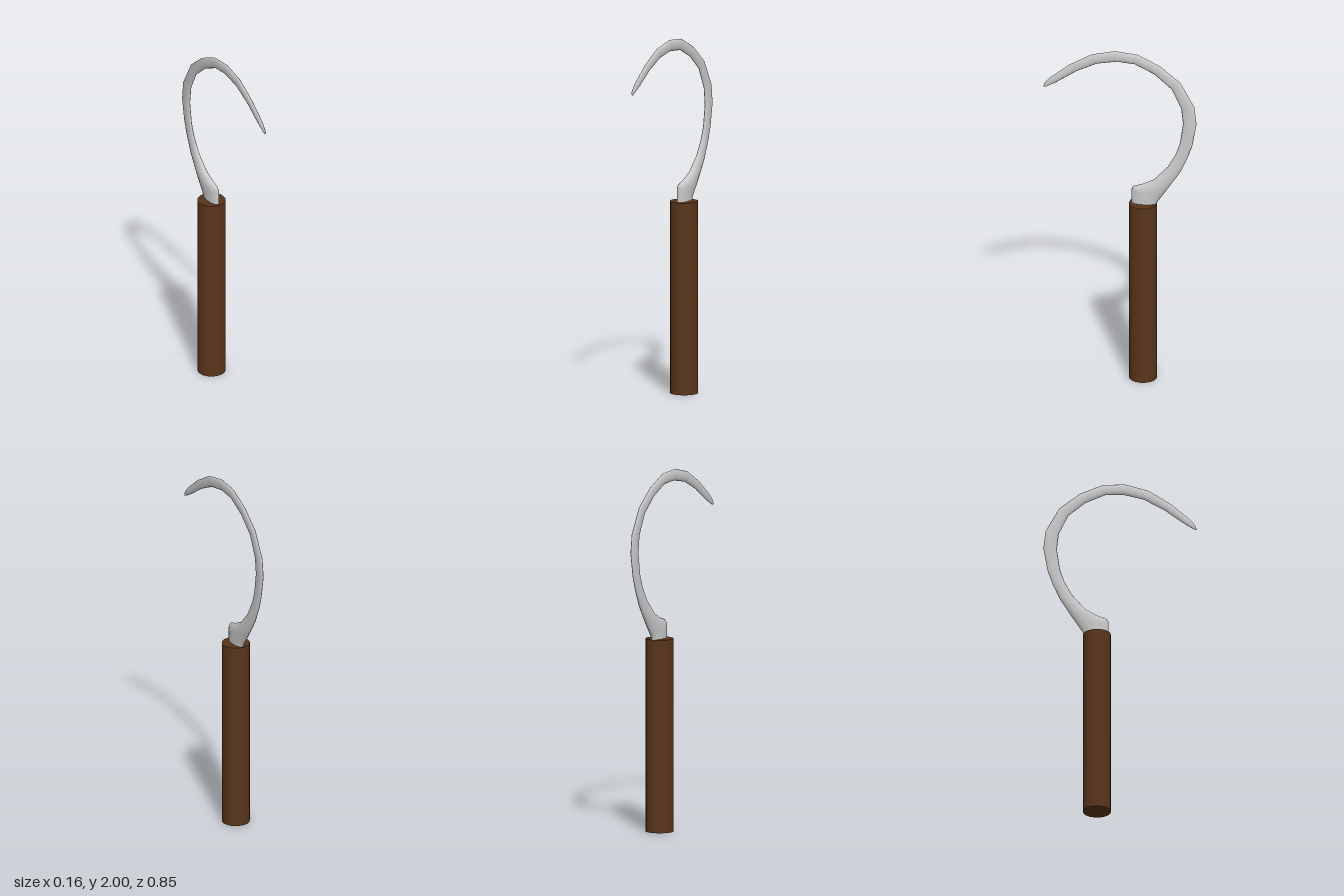
import * as THREE from 'three';

// Blade cross-sections from handle to tip: outer z, y, inner z, y, half thickness
const SECTIONS = [
  [-0.195, 1.0, -0.063, 1.0, 0.026],
  [-0.2, 1.075, -0.062, 1.075, 0.026],
  [-0.212, 1.095, -0.062, 1.155, 0.026],
  [-0.226, 1.115, -0.072, 1.175, 0.026],
  [-0.254, 1.155, -0.125, 1.192, 0.025],
  [-0.286, 1.205, -0.19, 1.225, 0.022],
  [-0.335, 1.28, -0.265, 1.308, 0.016],
  [-0.375, 1.37, -0.31, 1.39, 0.013],
  [-0.402, 1.448, -0.333, 1.46, 0.011],
  [-0.425, 1.58, -0.35, 1.58, 0.011],
  [-0.413, 1.687, -0.339, 1.675, 0.011],
  [-0.336, 1.83, -0.286, 1.788, 0.011],
  [-0.222, 1.926, -0.19, 1.873, 0.011],
  [-0.095, 1.988, -0.082, 1.927, 0.011],
  [0.03, 2.0, 0.02, 1.936, 0.011],
  [0.16, 1.97, 0.132, 1.915, 0.011],
  [0.285, 1.897, 0.245, 1.86, 0.01],
  [0.39, 1.812, 0.355, 1.785, 0.009],
  [0.422, 1.775, 0.405, 1.757, 0.007],
  [0.428, 1.757, 0.42, 1.75, 0.004],
];
const SIDES = 12;

// Skins oval rings through the sections and closes the tip
function bladeGeometry() {
  const pos = [], index = [];
  SECTIONS.forEach(([zo, yo, zi, yi, w], i) => {
    for (let j = 0; j < SIDES; j++) {
      const a = (j / SIDES) * Math.PI * 2, c = Math.cos(a) / 2;
      pos.push(Math.sin(a) * w, (yo + yi) / 2 + c * (yo - yi), (zo + zi) / 2 + c * (zo - zi));
      if (i === SECTIONS.length - 1) continue;
      const k = (j + 1) % SIDES, p = i * SIDES, q = p + SIDES;
      index.push(p + j, q + j, p + k, q + j, q + k, p + k);
    }
  });
  const last = (SECTIONS.length - 1) * SIDES, tip = last + SIDES;
  pos.push(0, 1.75, 0.426);
  for (let j = 0; j < SIDES; j++) index.push(last + j, tip, last + ((j + 1) % SIDES));
  const geo = new THREE.BufferGeometry();
  geo.setAttribute('position', new THREE.Float32BufferAttribute(pos, 3));
  geo.setIndex(index);
  geo.computeVertexNormals();
  return geo;
}

export function createModel() {
  const group = new THREE.Group();
  group.name = 'sickle';

  // Round wooden handle
  const handle = new THREE.Mesh(
    new THREE.CylinderGeometry(0.078, 0.078, 1.075, 16),
    new THREE.MeshStandardMaterial({ color: 0x5a361c })
  );
  handle.name = 'handle';
  handle.position.set(0, 0.5375, -0.127);
  group.add(handle);

  // Curved hook blade with a thick shoulder
  const blade = new THREE.Mesh(bladeGeometry(), new THREE.MeshStandardMaterial({ color: 0xcccccc }));
  blade.name = 'blade';
  group.add(blade);

  return group;
}
